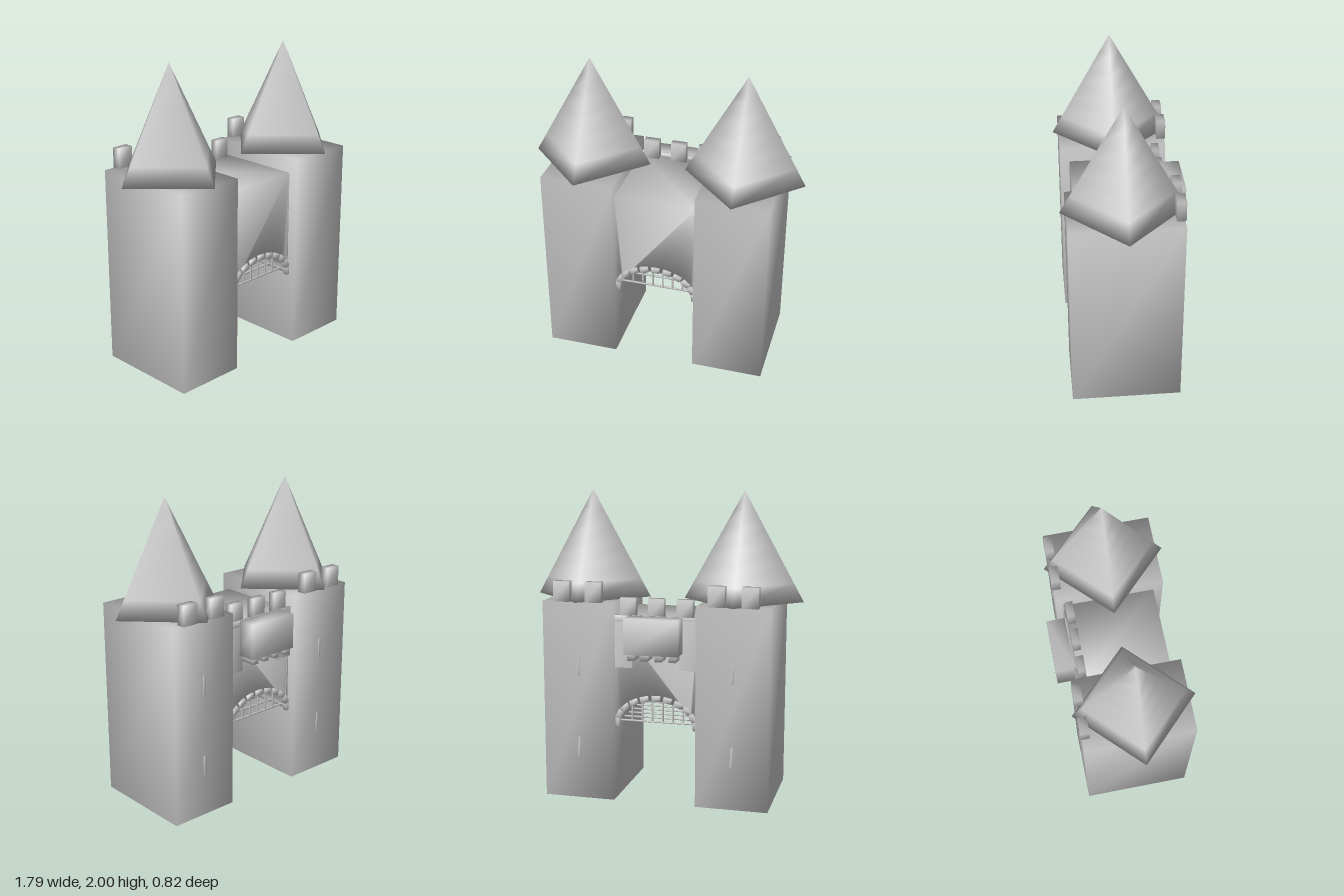
import * as THREE from 'three';
import { mergeVertices } from 'three/addons/utils/BufferGeometryUtils.js';

const stone = new THREE.MeshStandardMaterial({ color: 0xcccccc });

// Weld corners so that shading runs smoothly over the edges
function soften(geometry) {
  geometry.deleteAttribute('uv');
  geometry.deleteAttribute('normal');
  const welded = mergeVertices(geometry, 1e-4);
  welded.computeVertexNormals();
  return welded;
}

function add(parent, name, geometry) {
  const mesh = new THREE.Mesh(soften(geometry), stone);
  mesh.name = name;
  parent.add(mesh);
  return mesh;
}

// Box given by its limits on each axis
function block(parent, name, x0, x1, y0, y1, z0, z1) {
  const mesh = add(parent, name, new THREE.BoxGeometry(x1 - x0, y1 - y0, z1 - z0));
  mesh.position.set((x0 + x1) / 2, (y0 + y1) / 2, (z0 + z1) / 2);
  return mesh;
}

function createTower(side) {
  const tower = new THREE.Group();
  tower.name = side > 0 ? 'leftTower' : 'rightTower';
  const cx = side * 0.505;
  block(tower, 'towerBody', cx - 0.235, cx + 0.235, 0, 1.3, -0.335, 0.37);

  // Four-sided roof with its corners on the axes
  const roof = add(tower, 'towerRoof', new THREE.ConeGeometry(0.39, 0.7, 4, 6));
  roof.position.set(cx, 1.65, 0.02);

  // Battlements and arrow slits on the back
  for (const dx of [-0.106, 0.106]) {
    block(tower, 'towerMerlon', cx + dx - 0.053, cx + dx + 0.053, 1.3, 1.43, -0.342, -0.285);
  }
  for (const y of [0.28, 0.82]) {
    block(tower, 'arrowSlit', cx - 0.009, cx + 0.009, y, y + 0.134, -0.339, -0.325);
  }
  return tower;
}

function createGatehouse() {
  const gate = new THREE.Group();
  gate.name = 'gatehouse';
  const spring = 0.5, rx = 0.255, ry = 0.165;

  // Wall block with an arched underside
  const shape = new THREE.Shape();
  shape.moveTo(-0.27, spring);
  shape.lineTo(-rx, spring);
  shape.absellipse(0, spring, rx, ry, Math.PI, 0, true);
  shape.lineTo(0.27, spring);
  shape.lineTo(0.27, 1.2);
  shape.lineTo(-0.27, 1.2);
  const wall = new THREE.ExtrudeGeometry(shape, { depth: 0.59, bevelEnabled: false, curveSegments: 16 });
  wall.translate(0, 0, -0.28);
  add(gate, 'archedWall', wall);

  // Arch stones on both faces
  const count = 11;
  for (const z of [0.31, -0.28]) {
    for (let i = 0; i < count; i++) {
      const a = Math.PI * (0.03 + 0.94 * i / (count - 1));
      const stoneMesh = add(gate, 'archStone', new THREE.BoxGeometry(0.055, 0.036, 0.03));
      stoneMesh.position.set(0.262 * Math.cos(a), spring + 0.185 * Math.sin(a), z);
      stoneMesh.rotation.z = Math.atan2(Math.sin(a) / 0.185, Math.cos(a) / 0.262) - Math.PI / 2;
    }
  }

  // Raised grating: cross bars through the passage, uprights at its ends
  for (let i = 0; i < 6; i++) {
    const z = -0.24 + i * 0.1;
    block(gate, 'gratingBar', -0.27, 0.27, 0.515, 0.525, z - 0.005, z + 0.005);
  }
  for (const z of [-0.24, 0.26]) {
    for (let i = 0; i < 6; i++) {
      const x = -0.17 + i * 0.068;
      block(gate, 'gratingUpright', x - 0.005, x + 0.005, 0.515, 0.67, z - 0.005, z + 0.005);
    }
  }

  // Parapet and battlements
  block(gate, 'parapet', -0.27, 0.27, 1.18, 1.22, -0.295, -0.278);
  for (const x of [-0.186, 0, 0.186]) {
    block(gate, 'wallMerlon', x - 0.051, x + 0.051, 1.2, 1.33, -0.28, -0.23);
  }

  // Overhanging box on the back, with brackets and flanking panels
  block(gate, 'overhangBox', -0.176, 0.176, 0.99, 1.22, -0.415, -0.28);
  for (let i = 0; i < 4; i++) {
    const x = -0.135 + i * 0.09;
    block(gate, 'bracket', x - 0.022, x + 0.022, 0.95, 0.995, -0.4, -0.28);
  }
  for (const x of [-0.212, 0.212]) {
    block(gate, 'sidePanel', x - 0.058, x + 0.058, 0.88, 1.22, -0.295, -0.278);
  }
  return gate;
}

export function createModel() {
  const model = new THREE.Group();
  model.name = 'castleGate';
  model.add(createTower(1), createTower(-1), createGatehouse());
  return model;
}
